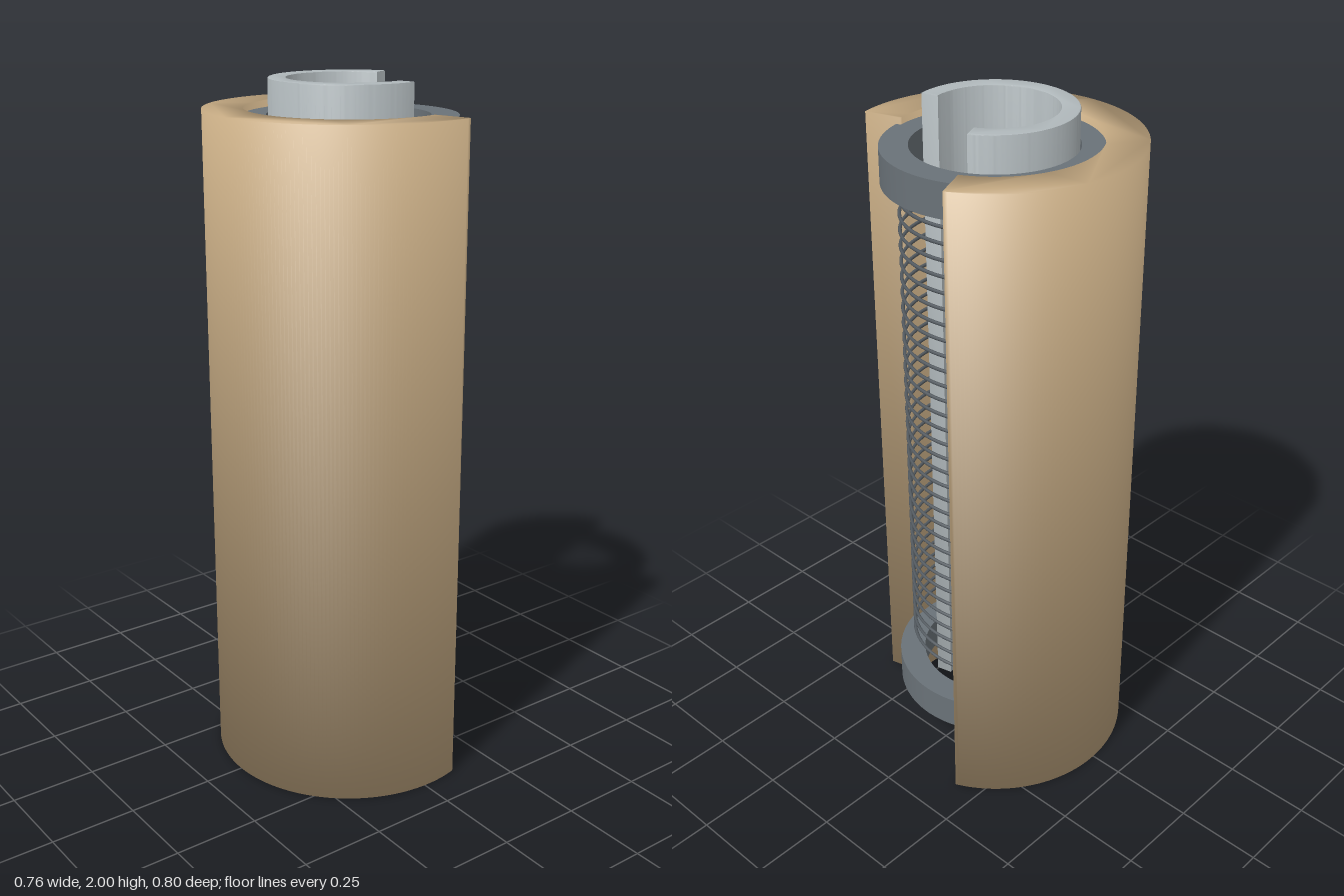
import * as THREE from 'three';
import { mergeVertices, toCreasedNormals } from 'three/addons/utils/BufferGeometryUtils.js';

// The cutaway opening lies between these two angles
const START = THREE.MathUtils.degToRad(25.3);
const END = THREE.MathUtils.degToRad(284.2);
const AXIS_X = 0.018;

// C-shaped outline of a cut-open tube
function cutRing(outer, inner) {
  const shape = new THREE.Shape();
  shape.absarc(0, 0, outer, START, END, false);
  shape.absarc(0, 0, inner, END, START, true);
  shape.closePath();
  return shape;
}

// Closed annular outline
function fullRing(outer, inner) {
  const shape = new THREE.Shape().absarc(0, 0, outer, 0, Math.PI * 2, false);
  shape.holes.push(new THREE.Path().absarc(0, 0, inner, 0, Math.PI * 2, true));
  return shape;
}

// Extrude an outline upwards from y0 to y1
function raise(shape, y0, y1, bevel = 0) {
  const geometry = new THREE.ExtrudeGeometry(shape, {
    depth: y1 - y0 - 2 * bevel,
    curveSegments: 80,
    bevelEnabled: bevel > 0,
    bevelSize: bevel,
    bevelOffset: -bevel,
    bevelThickness: bevel,
    bevelSegments: 2,
  });
  return geometry.rotateX(-Math.PI / 2).translate(0, y0 + bevel, 0);
}

// Shared corner normals give the casing its soft shading across the rims
function softenCorners(source, middleRadius, middleY) {
  source.deleteAttribute('normal');
  source.deleteAttribute('uv');
  const geometry = mergeVertices(source, 1e-4);
  geometry.computeVertexNormals();
  const { position, normal } = geometry.attributes;
  const p = new THREE.Vector3();
  const n = new THREE.Vector3();
  for (let i = 0; i < position.count; i++) {
    p.fromBufferAttribute(position, i);
    const radius = Math.hypot(p.x, p.z);
    const side = radius > middleRadius ? 1 : -1;
    n.set((side * p.x) / radius, p.y > middleY ? 1 : -1, (side * p.z) / radius);
    const angle = (Math.atan2(-p.z, p.x) + Math.PI * 2) % (Math.PI * 2);
    const end = Math.abs(angle - START) < 0.005 ? -1 : Math.abs(angle - END) < 0.005 ? 1 : 0;
    n.x -= end * Math.sin(angle);
    n.z -= end * Math.cos(angle);
    n.normalize();
    normal.setXYZ(i, n.x, n.y, n.z);
  }
  return geometry;
}

export function createModel() {
  const model = new THREE.Group();
  model.name = 'cutawayCylinder';

  const tan = new THREE.MeshStandardMaterial({ color: 0xc4a982 });
  const lightGrey = new THREE.MeshStandardMaterial({ color: 0xb0b8bb });
  const darkGrey = new THREE.MeshStandardMaterial({ color: 0x6a7278 });
  const wireGrey = new THREE.MeshStandardMaterial({ color: 0x555c62 });

  function add(name, geometry, material, parent = model) {
    const mesh = new THREE.Mesh(geometry, material);
    mesh.name = name;
    parent.add(mesh);
    return mesh;
  }

  // Thick outer casing, cut open
  add('outerCasing', softenCorners(raise(cutRing(0.4, 0.288), 0, 1.92), 0.345, 0.96), tan);

  // Inner tube, cut open at the same angles
  add('innerTube', toCreasedNormals(raise(cutRing(0.22, 0.17), 0.045, 2, 0.003), 0.6), lightGrey);

  // Collars holding the tube inside the casing
  const collar = toCreasedNormals(raise(fullRing(0.302, 0.225), 0, 0.098), 0.6);
  add('lowerCollar', collar, darkGrey).position.y = 0.143;
  add('upperCollar', collar, darkGrey).position.y = 1.803;

  // Stack of thin wire hoops between the collars
  const hoops = new THREE.Group();
  hoops.name = 'wireHoops';
  model.add(hoops);
  const hoop = new THREE.TorusGeometry(0.254, 0.005, 6, 96).rotateX(Math.PI / 2);
  const count = 32;
  for (let i = 0; i < count; i++) {
    add('wireHoop', hoop, wireGrey, hoops).position.y = 0.335 + (1.425 * i) / (count - 1);
  }

  for (const part of model.children) part.position.x = AXIS_X;
  return model;
}
